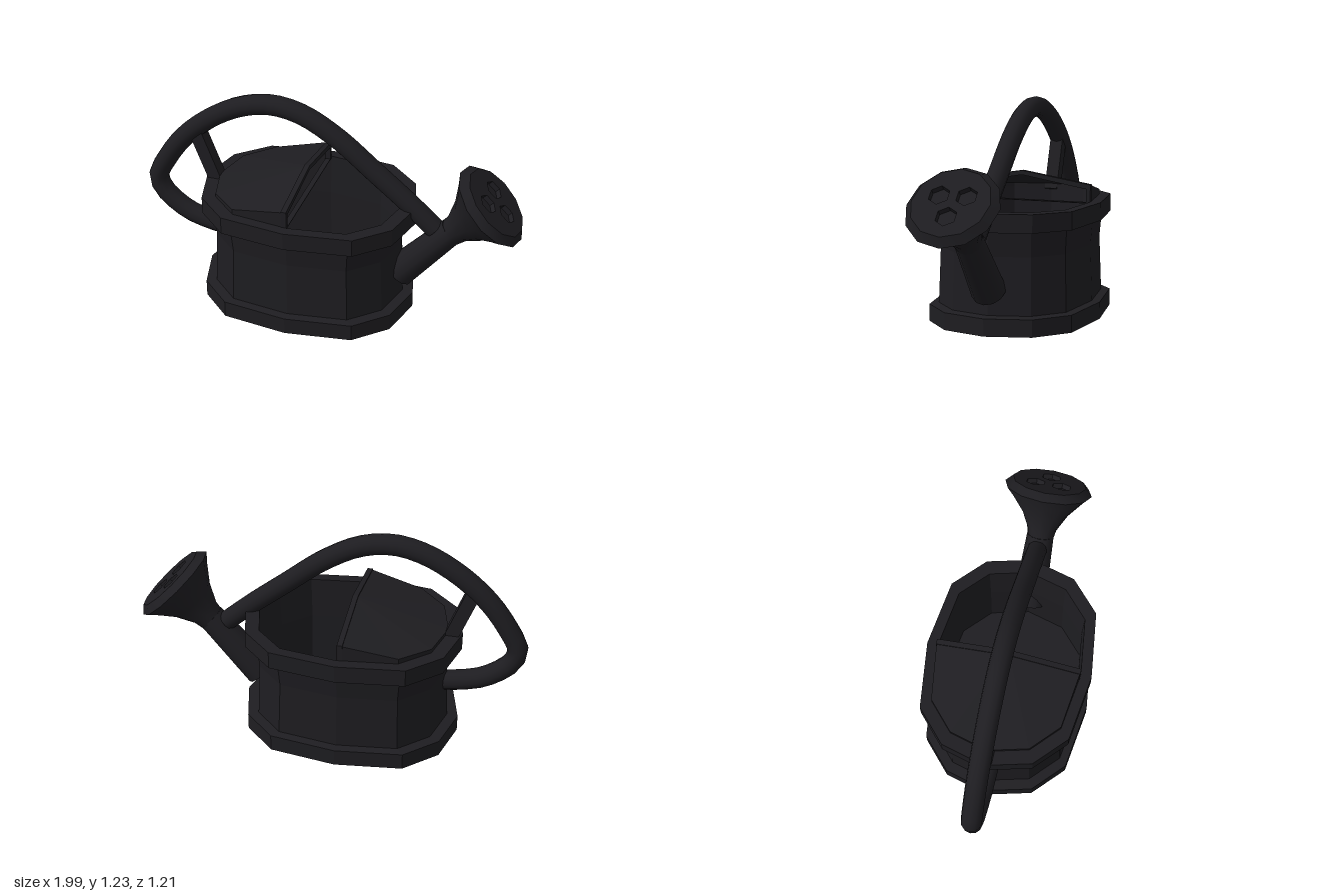
import * as THREE from 'three';
import { toCreasedNormals } from 'three/addons/utils/BufferGeometryUtils.js';

const V = (x, y, z = 0) => new THREE.Vector3(x, y, z);

// Oval twelve-sided outline of the can (x, z), seen from above
const quarter = [[0.61, 0], [0.545, 0.25], [0.37, 0.412], [0, 0.461]];
const half = [...quarter, ...quarter.slice(0, 3).reverse().map(([x, z]) => [-x, z])];
const outline = [...half, ...half.slice(1, 6).reverse().map(([x, z]) => [x, -z])];

// Skins a stack of rings that all have the same number of points
function loft(rings, closed) {
  const n = rings[0].length;
  const pos = [];
  const tri = (a, b, c) => {
    if (!a.equals(b) && !b.equals(c) && !a.equals(c)) {
      for (const p of [a, b, c]) pos.push(p.x, p.y, p.z);
    }
  };
  for (let i = 0; i < rings.length - 1; i++) {
    for (let j = 0; j < (closed ? n : n - 1); j++) {
      const k = (j + 1) % n;
      tri(rings[i][j], rings[i + 1][j], rings[i][k]);
      tri(rings[i][k], rings[i + 1][j], rings[i + 1][k]);
    }
  }
  const g = new THREE.BufferGeometry();
  g.setAttribute('position', new THREE.Float32BufferAttribute(pos, 3));
  g.computeVertexNormals();
  return g;
}

// Turns an object so that its y axis runs from a to b, centred between them
function span(obj, a, b) {
  obj.position.copy(a).add(b).multiplyScalar(0.5);
  obj.quaternion.setFromUnitVectors(V(0, 1), b.clone().sub(a).normalize());
  return obj;
}

export function createModel() {
  const color = 0x1e1d21;
  const smooth = new THREE.MeshStandardMaterial({ color });
  const flat = new THREE.MeshStandardMaterial({ color, flatShading: true });
  const thin = new THREE.MeshStandardMaterial({ color, flatShading: true, side: THREE.DoubleSide });
  const can = new THREE.Group();
  can.name = 'wateringCan';
  const add = (name, geometry, material, parent = can) => {
    const mesh = new THREE.Mesh(geometry, material);
    mesh.name = name;
    parent.add(mesh);
    return mesh;
  };

  // Hollow body with base band and rim: [scale, height], outside up then inside down
  const profile = [
    [0, 0], [1, 0.014], [1, 0.11], [0.9, 0.115], [0.875, 0.43], [0.9, 0.57],
    [1, 0.57], [1, 0.67], [0.87, 0.67], [0.85, 0.43], [0.86, 0.08], [0, 0.08],
  ];
  add('body', loft(profile.map(([s, y]) => outline.map(([x, z]) => V(x * s, y, z * s))), true), flat);

  // Raised hood over the rear half of the opening
  const rear = outline.slice(3, 10).map(([x, z]) => [x * 0.87, z * 0.87]);
  const edgeY = [0.765, 0.7, 0.693, 0.69, 0.693, 0.7, 0.765];
  add('hood', loft([
    rear.map(([x, z]) => V(x, 0.66, z)),
    rear.map(([x, z], i) => V(x, edgeY[i], z)),
    rear.map(() => V(0, 0.83, 0)),
  ], false), thin);

  // Thick lip around the mouth of the hood
  const gable = (w, side, peak) => [[-w, 0.66], [w, 0.66], [w, side], [0, peak], [-w, side]]
    .map(([x, y]) => new THREE.Vector2(x, y));
  const lipShape = new THREE.Shape(gable(0.4, 0.765, 0.83));
  lipShape.holes.push(new THREE.Path(gable(0.375, 0.74, 0.805).map((p) => p.setY(Math.max(p.y, 0.665)))));
  const lip = add('hoodLip', new THREE.ExtrudeGeometry(lipShape, { depth: 0.03, bevelEnabled: false }), flat);
  lip.rotation.y = Math.PI / 2;
  lip.position.x = -0.029;

  // Looping handle from the spout over the top to the back wall
  const path = [
    [0.53, 0.56], [0.4, 0.69], [0.22, 0.855], [0.02, 1.035], [-0.16, 1.145], [-0.32, 1.174],
    [-0.48, 1.133], [-0.65, 1.025], [-0.79, 0.885], [-0.89, 0.73], [-0.942, 0.61],
    [-0.92, 0.53], [-0.865, 0.465], [-0.775, 0.4], [-0.67, 0.365], [-0.59, 0.35],
  ].map(([x, y]) => V((x + 0.12) / 0.9, y));
  add('handle', new THREE.TubeGeometry(new THREE.CatmullRomCurve3(path), 40, 0.057, 12), smooth);

  // Strut between rim and handle
  const s0 = V(-0.545, 0.65), s1 = V(-0.67, 0.98);
  span(add('handleStrut', new THREE.BoxGeometry(0.075, s0.distanceTo(s1), 0.075), flat), s0, s1);

  // Spout pipe
  const p0 = V(0.53, 0.245), p1 = V(0.82, 0.57);
  span(add('spout', new THREE.CylinderGeometry(0.077, 0.095, p0.distanceTo(p1), 12), smooth), p0, p1);

  // Flared rose at the end of the spout
  const rose = new THREE.Group();
  rose.name = 'rose';
  rose.position.set(1.02, 0.763, 0);
  rose.rotation.z = -Math.PI / 4;
  can.add(rose);
  const flare = [[0.07, -0.33], [0.085, -0.24], [0.135, -0.14], [0.205, -0.05], [0.25, 0], [0.21, 0.04]]
    .map(([r, y]) => new THREE.Vector2(r, y));
  add('roseFlare', toCreasedNormals(new THREE.LatheGeometry(flare, 12), 0.6), smooth, rose);

  // Rose face with three six-sided recesses
  const ring = (n, r, cx = 0, cy = 0) => Array.from({ length: n }, (_, i) => {
    const a = (i / n) * Math.PI * 2;
    return new THREE.Vector2(cx + r * Math.cos(a), cy + r * Math.sin(a));
  });
  const faceShape = new THREE.Shape(ring(12, 0.21));
  for (let i = 0; i < 3; i++) {
    const a = (i / 3) * Math.PI * 2;
    faceShape.holes.push(new THREE.Path(ring(6, 0.057, 0.085 * Math.cos(a), 0.085 * Math.sin(a))));
  }
  const face = add('roseFace', new THREE.ExtrudeGeometry(faceShape, { depth: 0.03, bevelEnabled: false }), flat, rose);
  face.rotation.x = -Math.PI / 2;
  face.position.y = 0.01;
  const floor = add('roseRecessFloor', new THREE.CircleGeometry(0.2, 12), flat, rose);
  floor.rotation.x = -Math.PI / 2;
  floor.position.y = 0.011;

  // The can stands turned on the ground
  can.rotation.y = -0.45;
  can.position.set(-0.12, 0, -0.07);
  const model = new THREE.Group();
  model.add(can);
  return model;
}
